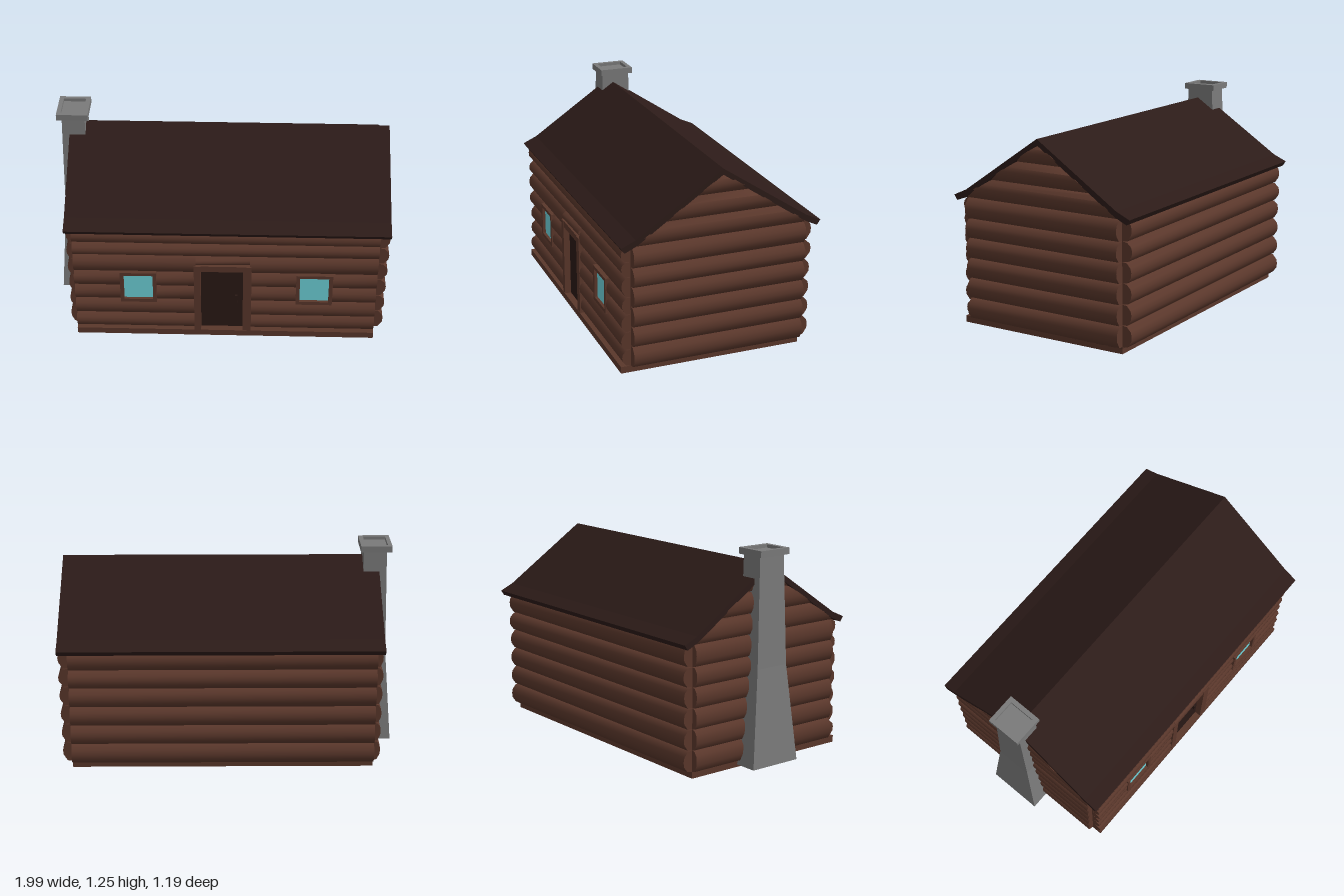
import * as THREE from 'three';
import { toCreasedNormals } from 'three/addons/utils/BufferGeometryUtils.js';

const paint = (color) => new THREE.MeshStandardMaterial({ color, roughness: 0.9 });
const WOOD = paint(0x5a372b), TRIM = paint(0x4a2d23), ROOF = paint(0x2c1b18);
const DOOR = paint(0x2a1915), STONE = paint(0x7a7a7a), GLASS = paint(0x6fd3da);

// Wall planes of the cabin body
const X0 = -0.86, X1 = 0.93, Z0 = -0.51, Z1 = 0.52;
// Each wall: turn about y, offset of its plane, log bulge, sign of the log axis
const WALLS = {
  front: { turn: -Math.PI / 2, x: 0, z: Z1, bulge: 0.055, s: -1 },
  back: { turn: Math.PI / 2, x: 0, z: Z0, bulge: 0.06, s: 1 },
  left: { turn: 0, x: X1, z: 0, bulge: 0.06, s: 1 },
  right: { turn: Math.PI, x: X0, z: 0, bulge: 0.04, s: -1 },
};
const LOG_PROFILE = [[0, 0], [0.55, 0.04], [0.95, 0.32], [1, 0.55], [0.9, 0.76], [0.5, 0.97], [0, 1]];

let seed = 7;
const jitter = (k) => {
  seed = (seed * 16807) % 2147483647;
  return (seed / 2147483647 - 0.5) * 2 * k;
};

function polygon(points) {
  return new THREE.Shape(points.map(([x, y]) => new THREE.Vector2(x, y)));
}

export function createModel() {
  const model = new THREE.Group();

  const add = (name, geometry, material, parent = model) => {
    const mesh = new THREE.Mesh(geometry, material);
    mesh.name = name;
    parent.add(mesh);
    return mesh;
  };
  // Box given by its limits
  const box = (name, [xa, xb], [ya, yb], [za, zb], material, parent) => {
    const g = new THREE.BoxGeometry(xb - xa, yb - ya, zb - za);
    g.translate((xa + xb) / 2, (ya + yb) / 2, (za + zb) / 2);
    return add(name, g, material, parent);
  };
  // Profile in z and y, extruded along x
  const extrudeX = (name, points, xa, xb, material) => {
    const g = new THREE.ExtrudeGeometry(polygon(points.map(([z, y]) => [-z, y])), { depth: xb - xa, bevelEnabled: false });
    g.rotateY(Math.PI / 2);
    g.translate(xa, 0, 0);
    return add(name, g, material);
  };

  // Half-round log from a to b along a wall; its ends are cut to the roof slope on the gables
  const log = (name, wall, a, b, y0, y1, parent) => {
    const w = WALLS[wall], gable = wall === 'left' || wall === 'right';
    const bulge = w.bulge + jitter(0.004);
    const g = new THREE.ExtrudeGeometry(
      polygon(LOG_PROFILE.map(([d, h]) => [d * bulge, y0 + h * (y1 - y0)])),
      { depth: 1, bevelEnabled: false });
    const [t0, t1] = w.s > 0 ? [a, b] : [-b, -a];
    const tilt = [jitter(0.004), jitter(0.004)];
    const p = g.attributes.position;
    for (let i = 0; i < p.count; i++) {
      const y = p.getY(i), end = p.getZ(i) > 0.5 ? 1 : 0;
      const limit = gable ? Math.max(0.005, (1.13 - y) / 0.676) : 9;
      p.setZ(i, end ? Math.min(t1, limit) : Math.max(t0, -limit));
      p.setY(i, y + (y > y0 + 0.01 && y < y1 - 0.01 ? tilt[end] : 0));
    }
    g.rotateY(w.turn);
    g.translate(w.x, 0, w.z);
    add(name, toCreasedNormals(g, 1.0), WOOD, parent);
  };

  // Floor slab and solid body with gables
  box('floorSlab', [X0, X1], [0, 0.04], [Z0, 0.58], WOOD);
  extrudeX('wallCore', [[Z0, 0.03], [Z1, 0.03], [Z1, 0.775], [0.005, 1.12], [Z0, 0.775]], X0, X1, TRIM);

  // Side and back walls
  const rows = [0.04, 0.165, 0.285, 0.405, 0.525, 0.64, 0.765, 0.885, 1.01, 1.125];
  for (const wall of ['left', 'right', 'back']) {
    const group = new THREE.Group();
    group.name = wall + 'Wall';
    model.add(group);
    const [a, b, n] = wall === 'back' ? [X0, X1, 6] : [Z0, Z1, 9];
    for (let i = 0; i < n; i++) log(wall + 'Log', wall, a, b, rows[i], rows[i + 1], group);
  }

  // Front wall, its logs interrupted by the door and the windows
  const frontRows = [0.04, 0.14, 0.25, 0.355, 0.46, 0.58, 0.67, 0.765];
  const frontWall = new THREE.Group();
  frontWall.name = 'frontWall';
  model.add(frontWall);
  for (let i = 0; i < 7; i++) {
    let spans = [[X0, X1]];
    if (i < 5) spans = [[X0, -0.14], [0.18, X1]];
    if (i === 2 || i === 3) spans = [[X0, -0.58], [-0.38, -0.14], [0.18, 0.465], [0.66, X1]];
    for (const [a, b] of spans) log('frontLog', 'front', a, b, frontRows[i], frontRows[i + 1], frontWall);
  }

  // Door with frame, lintel and handle
  const door = new THREE.Group();
  door.name = 'door';
  model.add(door);
  box('doorPanel', [-0.11, 0.14], [0.04, 0.49], [0.51, 0.54], DOOR, door);
  box('doorJamb', [-0.15, -0.11], [0.04, 0.525], [0.51, 0.578], WOOD, door);
  box('doorJamb', [0.14, 0.19], [0.04, 0.525], [0.51, 0.578], WOOD, door);
  box('doorHead', [-0.11, 0.14], [0.485, 0.525], [0.51, 0.575], WOOD, door);
  log('doorLintel', 'front', -0.14, 0.18, 0.522, 0.58, door);
  box('doorHandle', [0.093, 0.107], [0.235, 0.29], [0.54, 0.555], DOOR, door);

  // Framed windows
  for (const x of [-0.48, 0.562]) {
    const win = new THREE.Group();
    win.name = 'window';
    win.position.x = x;
    model.add(win);
    const shape = polygon([[-0.108, 0.25], [0.108, 0.25], [0.108, 0.468], [-0.108, 0.468]]);
    shape.holes.push(polygon([[-0.086, 0.272], [-0.086, 0.448], [0.086, 0.448], [0.086, 0.272]]));
    const frame = new THREE.ExtrudeGeometry(shape, { depth: 0.065, bevelEnabled: false });
    frame.translate(0, 0, 0.513);
    add('windowFrame', frame, WOOD, win);
    box('windowPane', [-0.086, 0.086], [0.272, 0.448], [0.51, 0.56], GLASS, win);
  }

  // Roof with flared eaves
  extrudeX('roof', [
    [0.575, 0.75], [0.595, 0.78], [0.51, 0.818], [0.005, 1.16], [-0.51, 0.818], [-0.595, 0.78],
    [-0.575, 0.75], [-0.5, 0.785], [0.005, 1.125], [0.5, 0.785],
  ], -0.9, 0.99, ROOF);

  // Chimney shaft, tapered by level: [y, outer x, back z, front z]
  const levels = [[0.015, -1, -0.18, 0.15], [0.58, -0.955, -0.12, 0.095], [1.22, -0.94, -0.1, 0.075]];
  const shaft = new THREE.BoxGeometry(1, 1, 1, 1, 2, 1);
  const p = shaft.attributes.position;
  for (let i = 0; i < p.count; i++) {
    const [y, x, za, zb] = levels[Math.round((p.getY(i) + 0.5) * 2)];
    p.setXYZ(i, p.getX(i) < 0 ? x : -0.805, y, p.getZ(i) < 0 ? za : zb);
  }
  add('chimneyShaft', toCreasedNormals(shaft, 0.05), STONE);

  // Chimney cap with a shallow flue recess
  const cap = polygon([[-0.97, -0.09], [-0.785, -0.09], [-0.785, 0.12], [-0.97, 0.12]]);
  cap.holes.push(polygon([[-0.945, -0.063], [-0.945, 0.095], [-0.812, 0.095], [-0.812, -0.063]]));
  const rim = new THREE.ExtrudeGeometry(cap, { depth: 0.037, bevelEnabled: false });
  rim.rotateX(-Math.PI / 2);
  rim.translate(0, 1.214, 0);
  add('chimneyCap', rim, STONE);
  box('chimneyFlue', [-0.95, -0.808], [1.216, 1.232], [-0.1, 0.068], STONE);

  return model;
}
